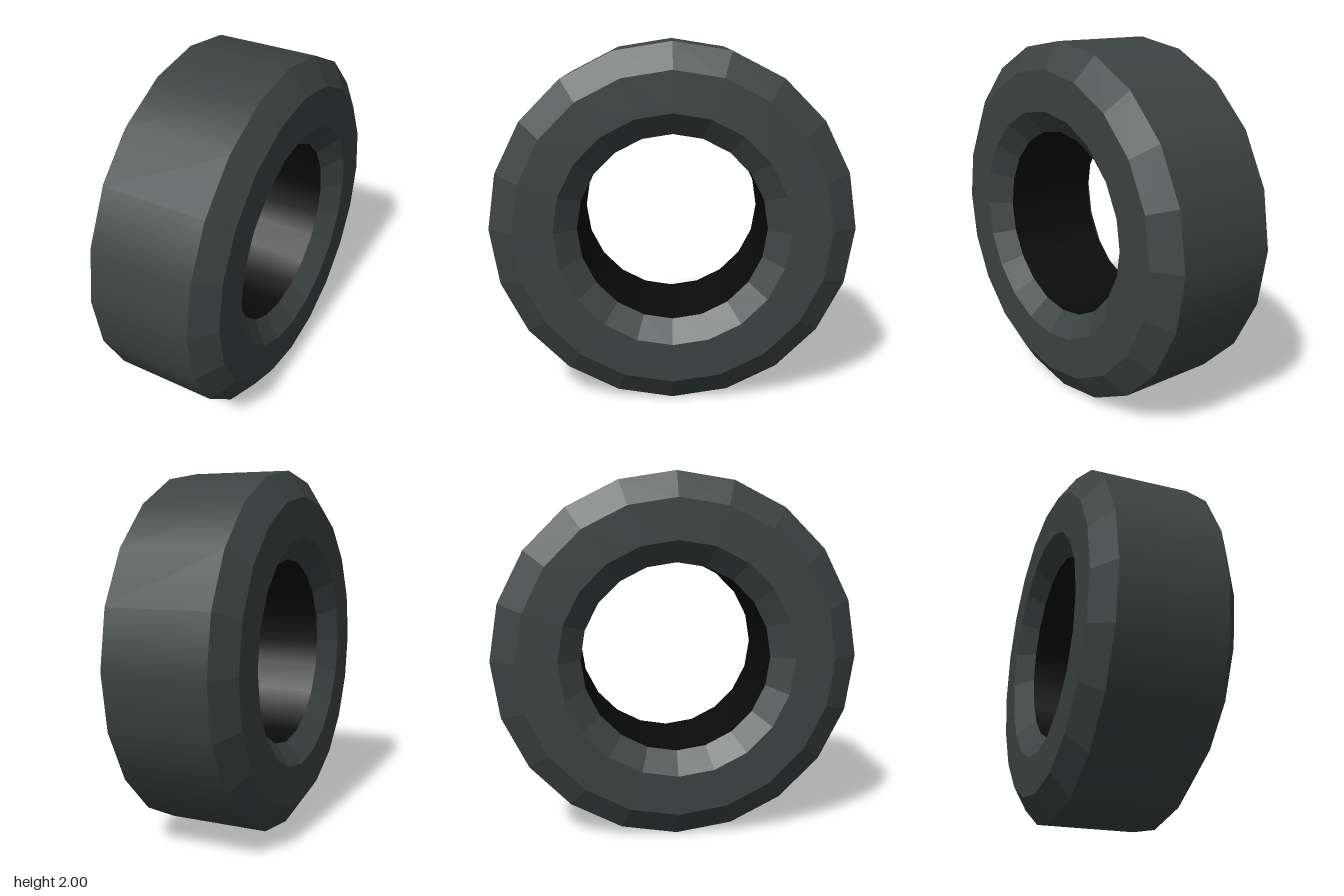
import * as THREE from 'three';

const SIDES = 20;

// Revolve an (radius, x) profile about the x axis; faceted bands get flat normals.
function ring(name, profile, material, faceted) {
  const points = profile.map(([r, x]) => new THREE.Vector2(r, x));
  let geometry = new THREE.LatheGeometry(points, SIDES);
  geometry.rotateZ(-Math.PI / 2);
  if (faceted) {
    geometry = geometry.toNonIndexed();
    geometry.computeVertexNormals();
  }
  const mesh = new THREE.Mesh(geometry, material);
  mesh.name = name;
  return mesh;
}

export function createModel() {
  const rubber = new THREE.MeshStandardMaterial({ color: 0x3d4342 });
  rubber.name = 'dark grey rubber';
  const black = new THREE.MeshStandardMaterial({ color: 0x0b0b0b });
  black.name = 'black lining';

  const tire = new THREE.Group();
  tire.name = 'tire';
  tire.position.y = 1;

  // Outer rolling surface
  tire.add(ring('tread', [[1, -0.285], [1, 0.285]], rubber, false));

  // Shoulder bevel, sidewall and inner lip on each side
  const wall = [[1, 0.285], [0.86, 0.38], [0.64, 0.38], [0.52, 0.285]];
  tire.add(ring('leftSidewall', wall, rubber, true));
  tire.add(ring('rightSidewall', wall.map(([r, x]) => [r, -x]).reverse(), rubber, true));

  // Lining of the central hole
  tire.add(ring('bore', [[0.52, 0.285], [0.52, -0.285]], black, false));

  const model = new THREE.Group();
  model.name = 'tireModel';
  model.add(tire);
  return model;
}
